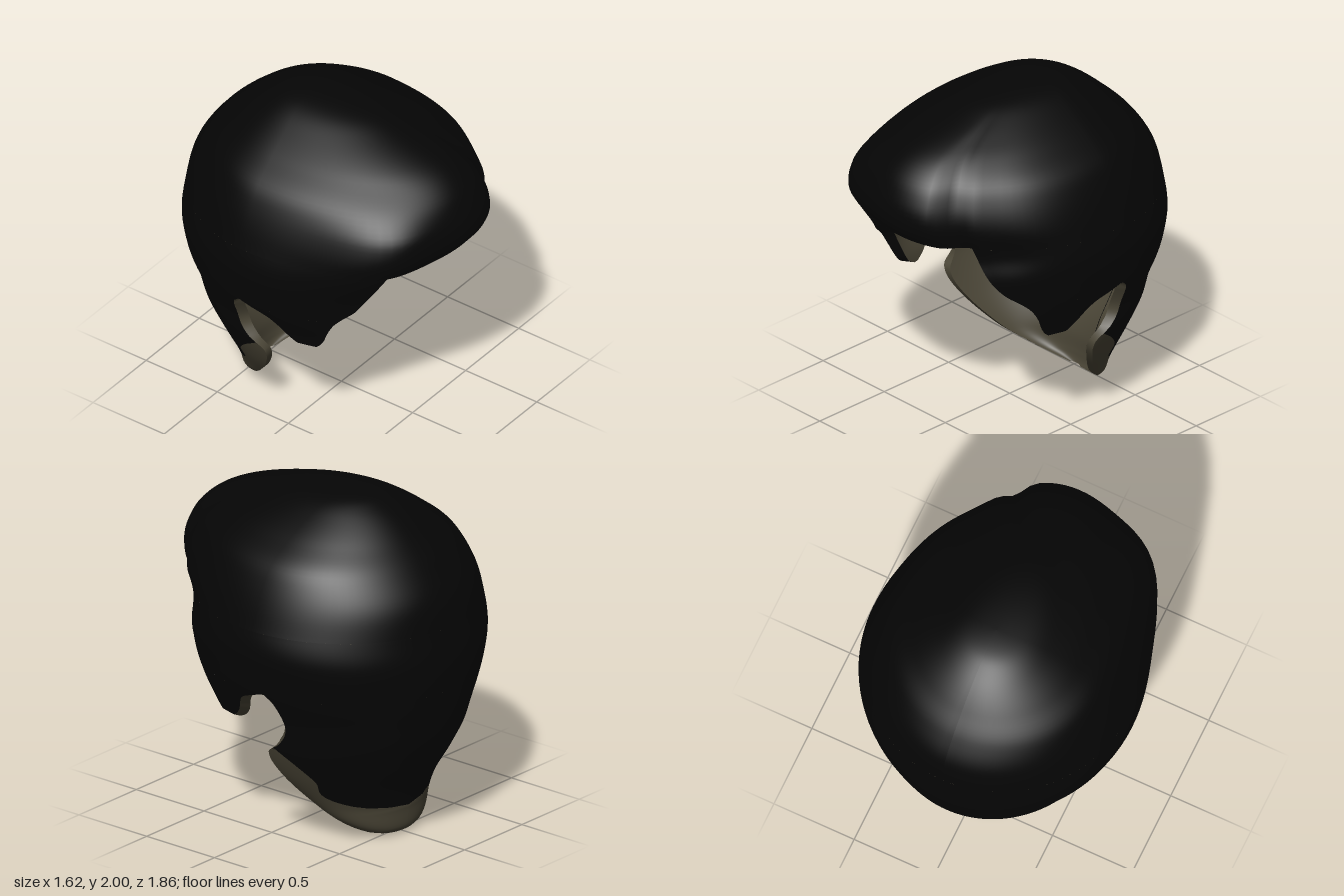
import * as THREE from 'three';

const { lerp, smoothstep, clamp } = THREE.MathUtils;

// Smooth interpolation through [y, value] pairs, listed from the crown down
const key = (y) => Math.sqrt(Math.max(0, 2 - y));
function table(pts) {
  const k = pts.map((p) => key(p[0])), v = pts.map((p) => p[1]), n = k.length - 1;
  const slope = (i) => {
    const a = Math.max(0, i - 1), b = Math.min(n, i + 1);
    return (v[b] - v[a]) / (k[b] - k[a]);
  };
  return (y) => {
    const x = key(y);
    if (x <= k[0]) return v[0];
    if (x >= k[n]) return v[n];
    let i = 0;
    while (x > k[i + 1]) i++;
    const h = k[i + 1] - k[i], t = (x - k[i]) / h, t2 = t * t, t3 = t2 * t;
    return (2 * t3 - 3 * t2 + 1) * v[i] + (t3 - 2 * t2 + t) * h * slope(i)
      + (3 * t2 - 2 * t3) * v[i + 1] + (t3 - t2) * h * slope(i + 1);
  };
}

// Horizontal cross-sections: half width, middle, front and back by height
const halfWidth = table([[2, 0], [1.98, 0.17], [1.9, 0.345], [1.8, 0.5], [1.7, 0.63], [1.6, 0.695], [1.4, 0.77],
  [1.2, 0.81], [1, 0.775], [0.9, 0.74], [0.75, 0.67], [0.6, 0.64], [0.4, 0.55], [0.2, 0.41],
  [0.1, 0.32], [0.03, 0.2], [0, 0.07]]);
const middle = table([[2, -0.18], [1.8, -0.12], [1.3, -0.1], [0.6, -0.1], [0.42, -0.12], [0.2, -0.27],
  [0.04, -0.45], [0, -0.505]]);
const front = table([[2, -0.18], [1.97, 0.2], [1.92, 0.4], [1.82, 0.7], [1.72, 0.84], [1.6, 0.91],
  [1.5, 0.93], [1.41, 0.91], [1.33, 0.85], [1.2, 0.8], [1, 0.77], [0.7, 0.8], [0.42, 0.6], [0, 0]]);
const back = table([[2, -0.18], [1.985, -0.33], [1.94, -0.44], [1.79, -0.64], [1.67, -0.76], [1.5, -0.87],
  [1.29, -0.91], [1.13, -0.927], [0.95, -0.905], [0.68, -0.84], [0.47, -0.735], [0.31, -0.635],
  [0.18, -0.59], [0.05, -0.58], [0.02, -0.565], [0, -0.53]]);

// Uneven volume: a parting and flatter quarter on the left, a fuller sweep on the right
const bump = (a, at, width) => Math.exp(-(((a - at) / width) ** 2));
function volume(y, angle) {
  const a = angle > Math.PI ? angle - 2 * Math.PI : angle;
  const parting = (0.045 * bump(a, 0.5, 0.09) + 0.045 * bump(a, 0.75, 0.28)) * (1 - smoothstep(y, 1.85, 1.97));
  const sweep = 0.09 * bump(a, -0.75, 0.32) * smoothstep(y, 1.05, 1.35) * (1 - smoothstep(y, 1.55, 1.8));
  return 1 - parting * smoothstep(y, 1.1, 1.3) + sweep;
}

// Point on the shell; angle 0 is the front, PI the back; d runs from outer (0) to lining (1)
function point(y, a, d = 0) {
  const cz = middle(y), scale = volume(y, a), c = Math.cos(a);
  const thin = (r) => r - d * Math.min(0.05, 0.4 * r);
  const depth = c > 0 ? (front(y) - cz) * (1 - 0.2 * d * c) * scale : thin(cz - back(y));
  const drop = 0.06 * d * smoothstep(y, 1.4, 2);
  return new THREE.Vector3(thin(halfWidth(y)) * scale * Math.sin(a), y - drop, cz + depth * c);
}

// Angle at which the cross-section at height y reaches depth z
function angleAt(y, z) {
  const cz = middle(y), r = z > cz ? front(y) - cz : cz - back(y);
  return Math.acos(clamp((z - cz) / r, -1, 1));
}

// Edges of the haircut; the lining sticks out a little around the ears
const FRINGE = 1.335, EAR = 0.955, TAPER = 0.58, TURN = 2 * Math.PI;
const lockEnd = (d) => lerp(0.715, 0.69, d);
const frontZ = table([[1.335, 0.68], [1.2, 0.62], [1.1, 0.57], [1.03, 0.52], [0.98, 0.46], [0.93, 0.41],
  [0.85, 0.36], [0.77, 0.32], [0.72, 0.28], [0.69, 0.22]]);
const lockBackZ = table([[0.955, -0.14], [0.94, -0.1], [0.9, -0.02], [0.84, 0.03], [0.77, 0.07], [0.72, 0.12], [0.69, 0.18]]);
const napeZ = table([[0.955, -0.16], [0.91, -0.205], [0.8, -0.23], [0.7, -0.225], [0.62, -0.17], [0.55, -0.08],
  [0.42, -0.11], [0.2, -0.27], [0.04, -0.45], [0, -0.505]]);
const taperZ = table([[0.58, -0.14], [0.5, -0.24], [0.39, -0.33], [0.28, -0.35], [0.17, -0.62]]);
const lip = (y) => 0.035 * smoothstep(EAR - y, 0, 0.08) * smoothstep(y, 0.56, 0.64);
const frontEdge = (y, s) => angleAt(y, frontZ(y) + 0.03 * s * smoothstep(y, 0.8, 1.33));
const lockBack = (y, d) => angleAt(y, lockBackZ(y) + lip(y) * (1 - d));
const nape = (y, d) => angleAt(y, napeZ(y) + lip(y) * d);
const taper = (y) => (y > TAPER ? nape(y, 0) : y < 0.17 ? Math.PI : Math.max(nape(y, 0), angleAt(y, taperZ(y))));

// Grid surface from a function of u and v in 0..1
function surface(f, nu, nv) {
  const pos = [], index = [];
  for (let i = 0; i <= nu; i++) {
    for (let j = 0; j <= nv; j++) {
      pos.push(...f(i / nu, j / nv).toArray());
      if (i < nu && j < nv) {
        const a = i * (nv + 1) + j, b = a + nv + 1;
        index.push(a, b, a + 1, b, b + 1, a + 1);
      }
    }
  }
  const g = new THREE.BufferGeometry();
  g.setAttribute('position', new THREE.Float32BufferAttribute(pos, 3));
  g.setIndex(index);
  g.computeVertexNormals();
  return g;
}

export function createModel() {
  const hair = new THREE.MeshStandardMaterial({ color: 0x050505, side: THREE.DoubleSide });
  hair.name = 'black hair';
  const lining = new THREE.MeshStandardMaterial({ color: 0x4a4536, side: THREE.DoubleSide });
  lining.name = 'olive lining';
  const model = new THREE.Group();
  model.name = 'hair';
  const add = (name, geometry, material) => {
    const mesh = new THREE.Mesh(geometry, material);
    mesh.name = name;
    model.add(mesh);
  };

  // Sheet between two heights and two edge angles
  const sheet = (name, mat, top, bottom, from, to, d, rows, cols) => add(name, surface((u, v) => {
    const y = 2 - lerp(key(top), key(bottom), u) ** 2;
    return point(y, lerp(from(y), to(y), v), d);
  }, rows, cols), mat);
  // Narrow strip joining the outside to the lining along an edge
  const rim = (name, mat, edge) => add(name, surface((u, v) =>
    point(...edge(u, 0), 0).lerp(point(...edge(u, 1), 1), v), 40, 1), mat);

  // Outer hair and its lining
  for (const [d, label, mat] of [[0, '', hair], [1, 'Lining', lining]]) {
    sheet('crown' + label, mat, 2, FRINGE, () => -Math.PI, () => Math.PI, d, 40, 96);
    sheet('sides' + label, mat, FRINGE, EAR, (y) => frontEdge(y, 1), (y) => TURN - frontEdge(y, -1), d, 16, 80);
    const start = d ? (y) => nape(y, 1) : taper;
    sheet('back' + label, mat, EAR, d ? 0 : 0.17, start, (y) => TURN - start(y), d, 48, 60);
    for (const [s, side] of [[1, 'left'], [-1, 'right']]) {
      sheet(side + 'Lock' + label, mat, EAR, lockEnd(d), (y) => s * frontEdge(y, s), (y) => s * lockBack(y, d), d, 16, 14);
    }
  }

  // Tapered neckline, front edges and ear notches
  for (const [s, side] of [[1, 'left'], [-1, 'right']]) {
    sheet(side + 'Neckline', lining, TAPER, 0, (y) => s * nape(y, 0), (y) => s * taper(y), 0, 36, 24);
    rim(side + 'FrontEdge', hair, (u, d) => { const y = lerp(FRINGE, lockEnd(d), u); return [y, s * frontEdge(y, s)]; });
    rim(side + 'LockEdge', lining, (u, d) => { const y = lerp(EAR, lockEnd(d), u); return [y, s * lockBack(y, d)]; });
    rim(side + 'LockTip', lining, (u, d) => {
      const y = lockEnd(d);
      return [y, s * lerp(frontEdge(y, s), lockBack(y, d), u)];
    });
    rim(side + 'NapeEdge', lining, (u, d) => { const y = lerp(EAR, 0, u); return [y, s * nape(y, d)]; });
    rim(side + 'EarTop', lining, (u, d) => [EAR, s * lerp(lockBack(EAR, d), nape(EAR, d), u)]);
  }
  rim('fringeUnderside', hair, (u) => [FRINGE, lerp(-frontEdge(FRINGE, -1), frontEdge(FRINGE, 1), u)]);
  rim('napeHem', lining, (u) => [0, lerp(nape(0, 0), TURN - nape(0, 0), u)]);

  // Fine dark strands hanging straight down the lining
  for (const [x, end] of [[-0.4, 0.5], [-0.29, 0.35], [-0.13, 0.55], [-0.01, 0.3], [0.16, 0.25], [0.3, 0.3], [0.41, 0.5]]) {
    const path = [];
    for (let j = 0; j <= 16; j++) {
      const y = lerp(1.4, end, j / 16);
      path.push(point(y, Math.PI - Math.asin(x / halfWidth(y)), 1.08));
    }
    add('strand', new THREE.TubeGeometry(new THREE.CatmullRomCurve3(path), 32, 0.002, 4), hair);
  }
  return model;
}
